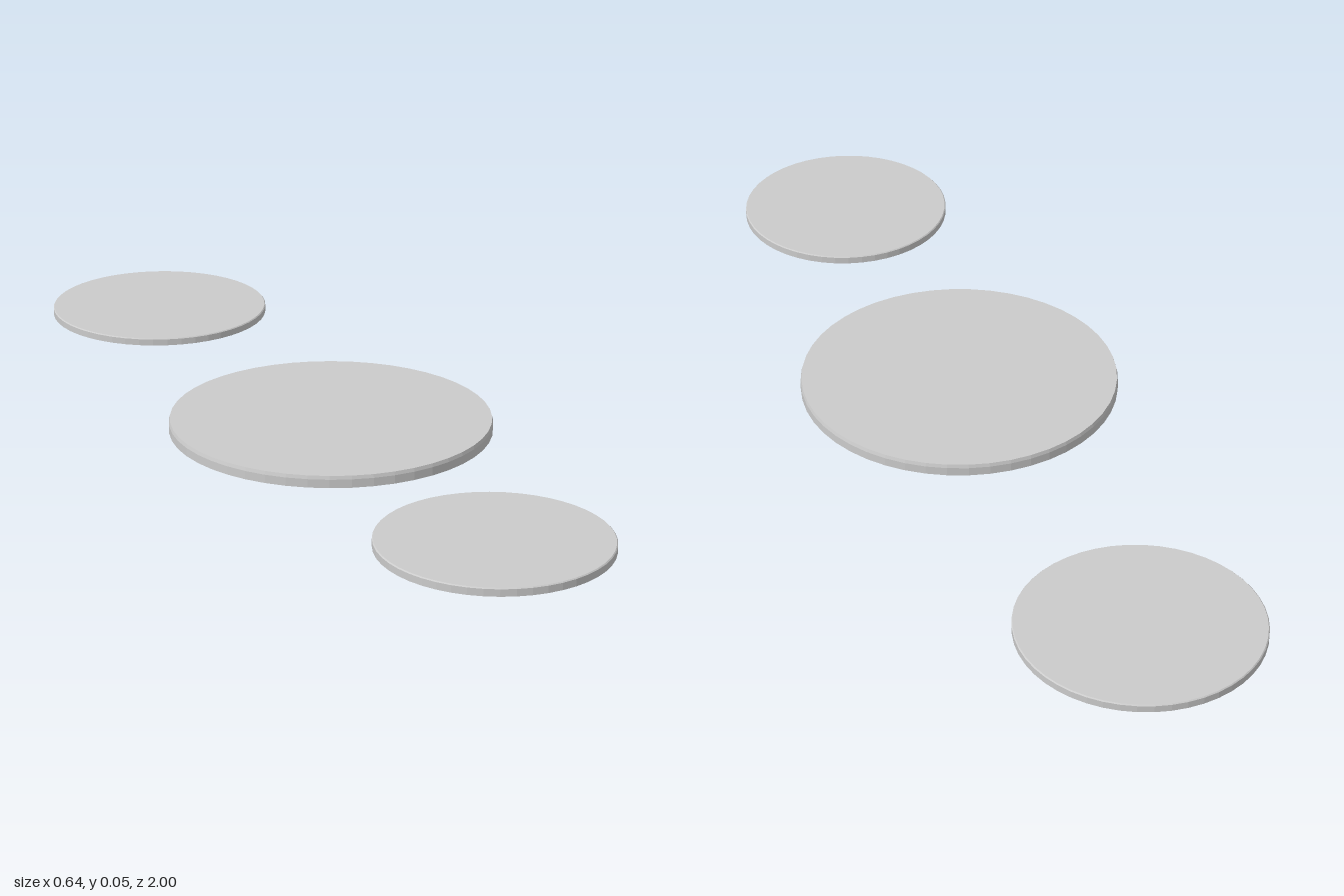
import * as THREE from 'three';

const material = new THREE.MeshStandardMaterial({ color: 0xcccccc, flatShading: true });

// Thin closed disc whose top rim tapers in slightly above the shoulder.
function disc(name, radius, x, z, bottom, shoulder, top) {
  const profile = [
    [0, bottom], [radius, bottom], [radius, shoulder], [radius - 0.002, top], [0, top],
  ].map(([r, y]) => new THREE.Vector2(r, y));
  const mesh = new THREE.Mesh(new THREE.LatheGeometry(profile, 48), material);
  mesh.name = name;
  mesh.position.set(x, 0, z);
  return mesh;
}

export function createModel() {
  const group = new THREE.Group();
  group.name = 'steppingDiscs';
  // Three discs, each a little higher towards the front
  group.add(
    disc('backDisc', 0.235, -0.068, -0.765, 0, 0.0135, 0.0155),
    disc('middleDisc', 0.322, 0, 0.08, 0.014, 0.031, 0.038),
    disc('frontDisc', 0.22, 0.032, 0.78, 0.031, 0.045, 0.047),
  );
  return group;
}
